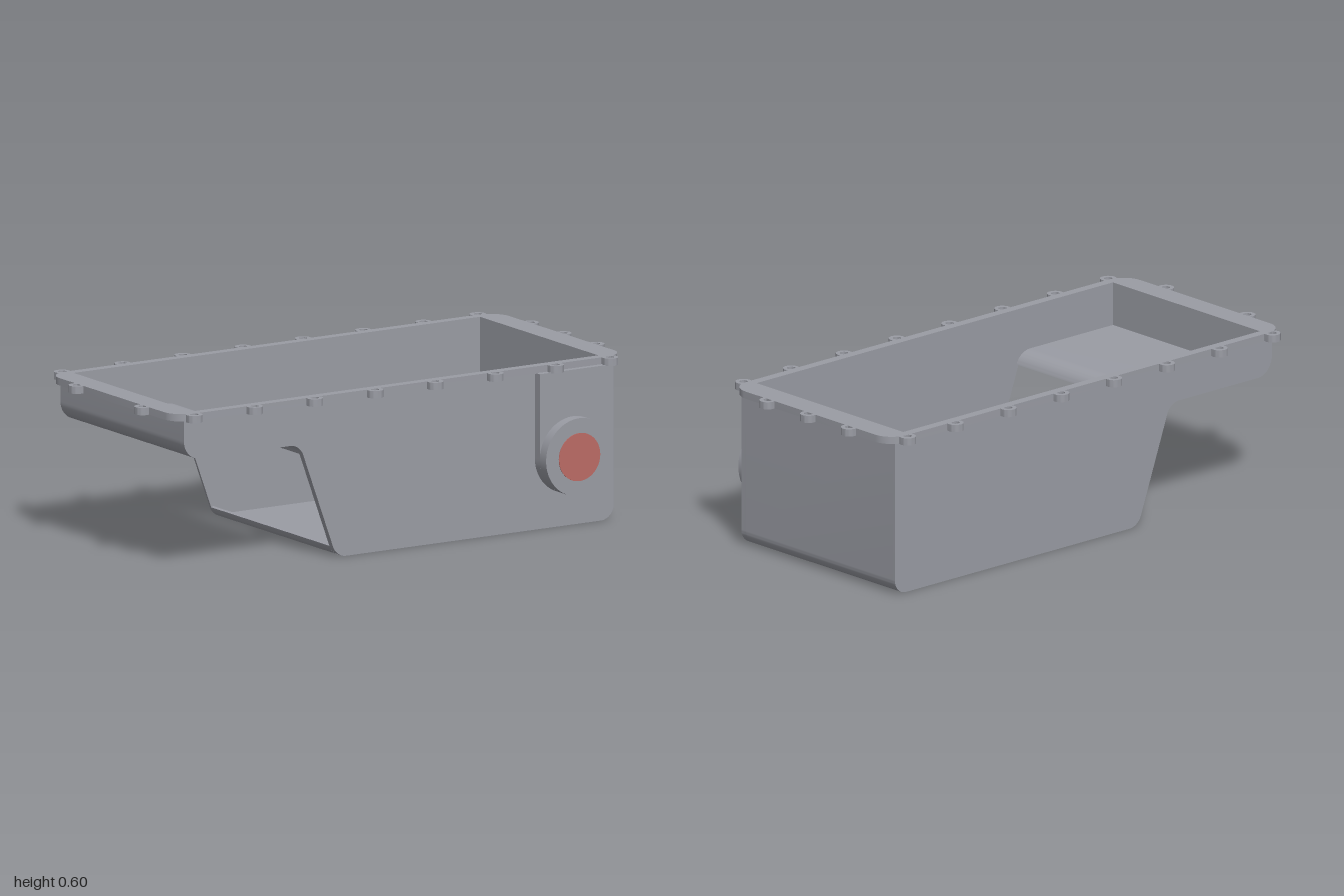
import * as THREE from 'three';
import { toCreasedNormals } from 'three/addons/utils/BufferGeometryUtils.js';

// Polygon of [x, y, radius] corners with rounded corners where a radius is given
function roundedShape(corners) {
  const shape = new THREE.Shape();
  const n = corners.length;
  corners.forEach(([x, y, r = 0], i) => {
    const p = new THREE.Vector2(x, y);
    const a = new THREE.Vector2(...corners[(i + n - 1) % n].slice(0, 2)).sub(p).normalize();
    const b = new THREE.Vector2(...corners[(i + 1) % n].slice(0, 2)).sub(p).normalize();
    const turn = Math.PI - Math.acos(a.dot(b));
    const t = r * Math.tan(turn / 2);
    const k = t - (4 / 3) * Math.tan(turn / 4) * r;
    const at = (dir, d) => p.clone().addScaledVector(dir, d);
    const start = at(a, t);
    if (i === 0) shape.moveTo(start.x, start.y);
    else shape.lineTo(start.x, start.y);
    if (r > 0) {
      const c1 = at(a, k), c2 = at(b, k), end = at(b, t);
      shape.bezierCurveTo(c1.x, c1.y, c2.x, c2.y, end.x, end.y);
    }
  });
  shape.closePath();
  return shape;
}

// Extrude a shape between two z planes
function slab(shape, z0, z1) {
  const geo = new THREE.ExtrudeGeometry(shape, { depth: z1 - z0, bevelEnabled: false, curveSegments: 14 });
  geo.translate(0, 0, z0);
  return toCreasedNormals(geo, 0.6);
}

// Extrude a plan shape (x, z) between two heights
function plate(shape, y0, y1) {
  const geo = slab(shape, 0, y1 - y0);
  geo.rotateX(Math.PI / 2);
  geo.translate(0, y1, 0);
  return geo;
}

export function createModel() {
  const metal = new THREE.MeshStandardMaterial({ color: 0x9a9ca4 });
  metal.name = 'grey metal';
  const red = new THREE.MeshStandardMaterial({ color: 0xbc6c66 });
  red.name = 'faded red';

  const model = new THREE.Group();
  model.name = 'pan';
  const add = (name, geo, mat = metal) => {
    const mesh = new THREE.Mesh(geo, mat);
    mesh.name = name;
    model.add(mesh);
    return mesh;
  };

  const rim = 0.6, under = 0.573;

  // Long side walls with the stepped outline
  const side = roundedShape([
    [-0.92, 0.58], [-0.92, 0.43, 0.07], [-0.425, 0.43, 0.06],
    [-0.269, 0, 0.06], [0.915, 0, 0.055], [0.915, 0.58],
  ]);
  add('frontWall', slab(side, 0.375, 0.4));
  add('backWall', slab(side, -0.41, -0.4));

  // Shallow end: end wall and shelf, curling down to the open slope
  add('shallowShelf', slab(roundedShape([
    [-0.92, 0.58], [-0.92, 0.43, 0.07], [-0.425, 0.43, 0.06], [-0.411, 0.391],
    [-0.401, 0.394], [-0.418, 0.44, 0.069], [-0.87, 0.44], [-0.87, 0.58],
  ]), -0.4, 0.375));

  // Deep end: floor and end wall, curling up to the open slope
  add('deepFloor', slab(roundedShape([
    [-0.283, 0.0385], [-0.269, 0, 0.058], [0.915, 0, 0.055], [0.915, 0.58],
    [0.865, 0.58], [0.865, 0.01], [-0.262, 0.01, 0.045], [-0.2736, 0.042],
  ]), -0.4, 0.375));

  // Flange around the opening
  const flange = roundedShape([
    [-0.96, -0.435, 0.08], [0.96, -0.435, 0.08], [0.96, 0.41, 0.08], [-0.96, 0.41, 0.08],
  ]);
  flange.holes.push(roundedShape([[-0.87, -0.4], [-0.87, 0.375], [0.865, 0.375], [0.865, -0.4]]));
  add('flange', plate(flange, under, rim));

  // Bolt lugs along the flange
  const ring = new THREE.Shape().absarc(0, 0, 0.03, 0, Math.PI * 2);
  ring.holes.push(new THREE.Path().absarc(0, 0, 0.015, 0, Math.PI * 2, true));
  const lugGeo = plate(ring, under, rim);
  const spots = [];
  for (const x of [-0.89, -0.632, -0.375, -0.118, 0.139, 0.396, 0.653, 0.885]) {
    spots.push([x, -0.445], [x, 0.421]);
  }
  for (const z of [-0.225, 0.205]) spots.push([-0.97, z]);
  for (const z of [-0.225, -0.01, 0.205]) spots.push([0.967, z]);
  for (const [x, z] of spots) add('boltLug', lugGeo).position.set(x, 0, z);

  // Channel and round boss on the front wall
  const bx = 0.72, by = 0.263, br = 0.142;
  const channel = new THREE.Shape();
  channel.moveTo(bx + br, under + 0.002);
  channel.lineTo(bx - br, under + 0.002);
  channel.lineTo(bx - br, by);
  channel.absarc(bx, by, br, Math.PI, Math.PI * 2, false);
  channel.closePath();
  add('bossChannel', slab(channel, 0.39, 0.433));

  const boss = new THREE.CylinderGeometry(br, br, 0.085, 48);
  boss.rotateX(Math.PI / 2);
  add('roundBoss', boss).position.set(bx, by, 0.4315);

  // Red disc on the boss face
  const disc = new THREE.CylinderGeometry(0.088, 0.088, 0.004, 40);
  disc.rotateX(Math.PI / 2);
  add('redDisc', disc, red).position.set(bx, by, 0.4745);

  return model;
}
